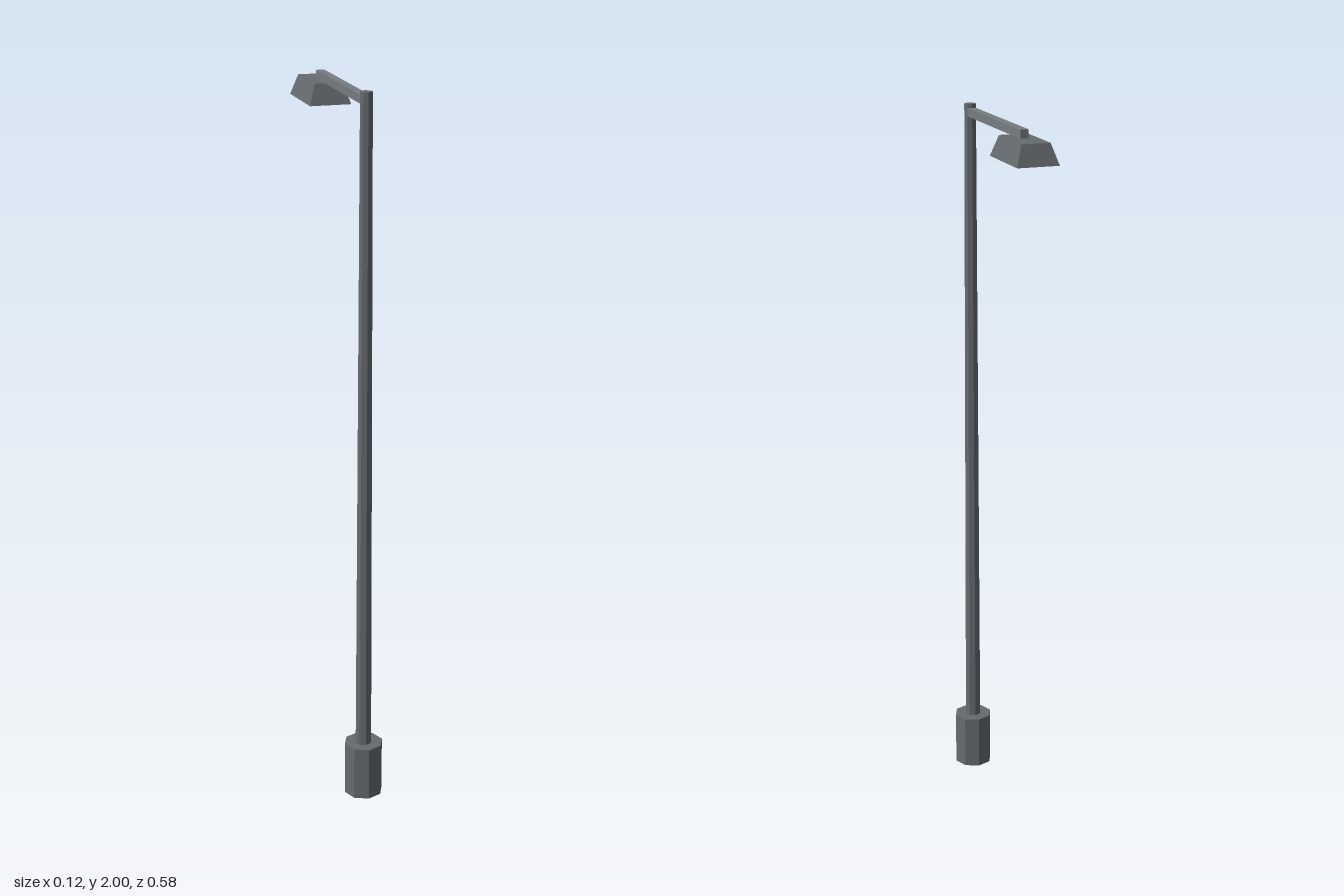
import * as THREE from 'three';

const POLE_Z = 0.235;
const HEAD_Z = -0.19;

export function createModel() {
  const group = new THREE.Group();
  const paint = (color) => new THREE.MeshStandardMaterial({ color, flatShading: true });
  const metal = paint(0x666b70);
  const armMetal = paint(0x777c82);
  const glow = paint(0xd8c890);

  const add = (name, geometry, material, x, y, z) => {
    const mesh = new THREE.Mesh(geometry, material);
    mesh.name = name;
    mesh.position.set(x, y, z);
    group.add(mesh);
  };

  // Octagonal foot and slender tapered pole
  add('base', new THREE.CylinderGeometry(0.055, 0.055, 0.155, 8), metal, 0, 0.0775, POLE_Z);
  add('pole', new THREE.CylinderGeometry(0.017, 0.023, 1.845, 8), metal, 0, 1.0775, POLE_Z);

  // Square arm reaching back from the pole top to the middle of the lamp head
  add('arm', new THREE.BoxGeometry(0.023, 0.023, POLE_Z - HEAD_Z), armMetal, 0, 1.978, (POLE_Z + HEAD_Z) / 2);

  // Lamp head: a box whose upper corners are drawn in by an equal margin
  const head = new THREE.BoxGeometry(0.115, 0.056, 0.205);
  const p = head.attributes.position;
  for (let i = 0; i < p.count; i++) {
    if (p.getY(i) > 0) {
      p.setX(i, p.getX(i) - Math.sign(p.getX(i)) * 0.018);
      p.setZ(i, p.getZ(i) - Math.sign(p.getZ(i)) * 0.02);
    }
  }
  head.computeVertexNormals();
  add('lampHead', head, metal, 0, 1.938, HEAD_Z);

  // Light panel set in the underside
  add('lightPanel', new THREE.BoxGeometry(0.092, 0.004, 0.175), glow, 0, 1.911, HEAD_Z);

  return group;
}
